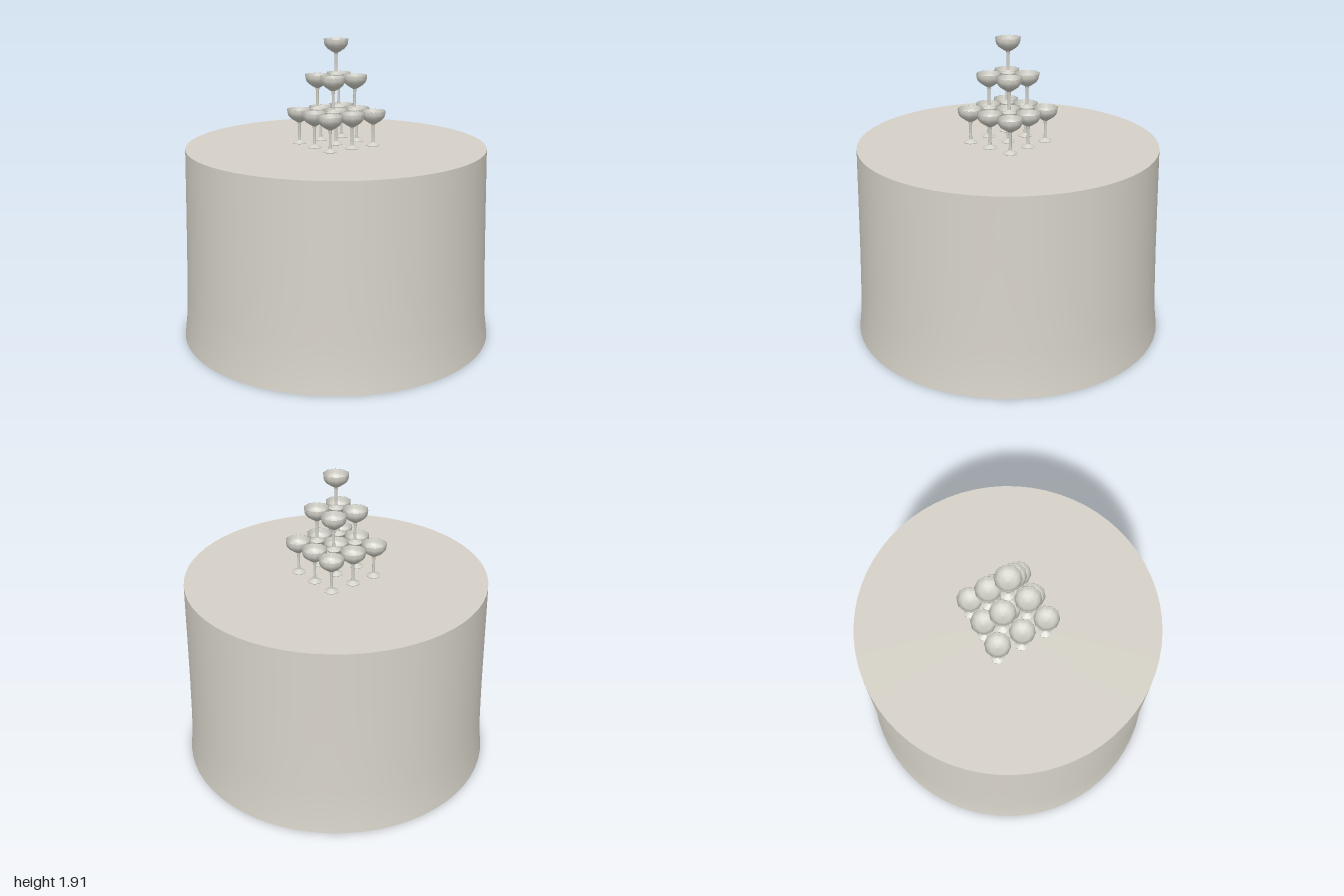
import * as THREE from 'three';

const cloth = new THREE.MeshStandardMaterial({ color: 0xd6d2c8, side: THREE.DoubleSide });
cloth.name = 'linen';
const glass = new THREE.MeshStandardMaterial({ color: 0xd2d1c8, side: THREE.DoubleSide });
glass.name = 'pale glass';

const TABLE_Y = 1.24, TABLE_R = 0.95;
const GLASS_H = 0.222, SPACING = 0.167;

const lathe = (points, sides) =>
  new THREE.LatheGeometry(points.map(([r, y]) => new THREE.Vector2(r, y)), sides, Math.PI / 2);

function mesh(name, geometry, material) {
  const m = new THREE.Mesh(geometry, material);
  m.name = name;
  return m;
}

// Ten-sided coupe glass: foot, stem and hollow bowl
const footGeo = lathe([[0, 0], [0.044, 0], [0.044, 0.004], [0.026, 0.011], [0.011, 0.021]], 10);
const stemGeo = lathe([[0.011, 0.021], [0.009, 0.05], [0.009, 0.11], [0.013, 0.136]], 10);
const bowlGeo = lathe([
  [0.013, 0.136], [0.032, 0.147], [0.058, 0.165], [0.073, 0.184], [0.078, 0.2], [0.08, 0.221],
  [0.077, 0.221], [0.074, 0.2], [0.066, 0.183], [0.045, 0.166], [0, 0.16],
], 10);

function makeGlass() {
  const g = new THREE.Group();
  g.name = 'coupeGlass';
  g.add(mesh('foot', footGeo, glass), mesh('stem', stemGeo, glass), mesh('bowl', bowlGeo, glass));
  return g;
}

export function createModel() {
  const model = new THREE.Group();
  model.name = 'glassTower';

  // Draped cloth, open underneath and flared at the hem
  const drape = [[1, 0], [0.984, 0.13], [0.976, 0.3], [0.967, 0.55], [0.958, 0.9], [TABLE_R, TABLE_Y]];
  model.add(mesh('clothSkirt', lathe(drape, 64), cloth));
  const top = mesh('tableTop', new THREE.CircleGeometry(TABLE_R, 64), cloth);
  top.rotation.x = -Math.PI / 2;
  top.position.y = TABLE_Y;
  model.add(top);

  // Square tiers of 3 x 3, 2 x 2 and one glass
  [3, 2, 1].forEach((n, tier) => {
    const group = new THREE.Group();
    group.name = `glassTier${tier + 1}`;
    group.position.y = TABLE_Y + 0.001 + tier * GLASS_H;
    for (let i = 0; i < n; i++) {
      for (let j = 0; j < n; j++) {
        const g = makeGlass();
        g.position.set((i - (n - 1) / 2) * SPACING, 0, (j - (n - 1) / 2) * SPACING);
        group.add(g);
      }
    }
    model.add(group);
  });
  return model;
}
